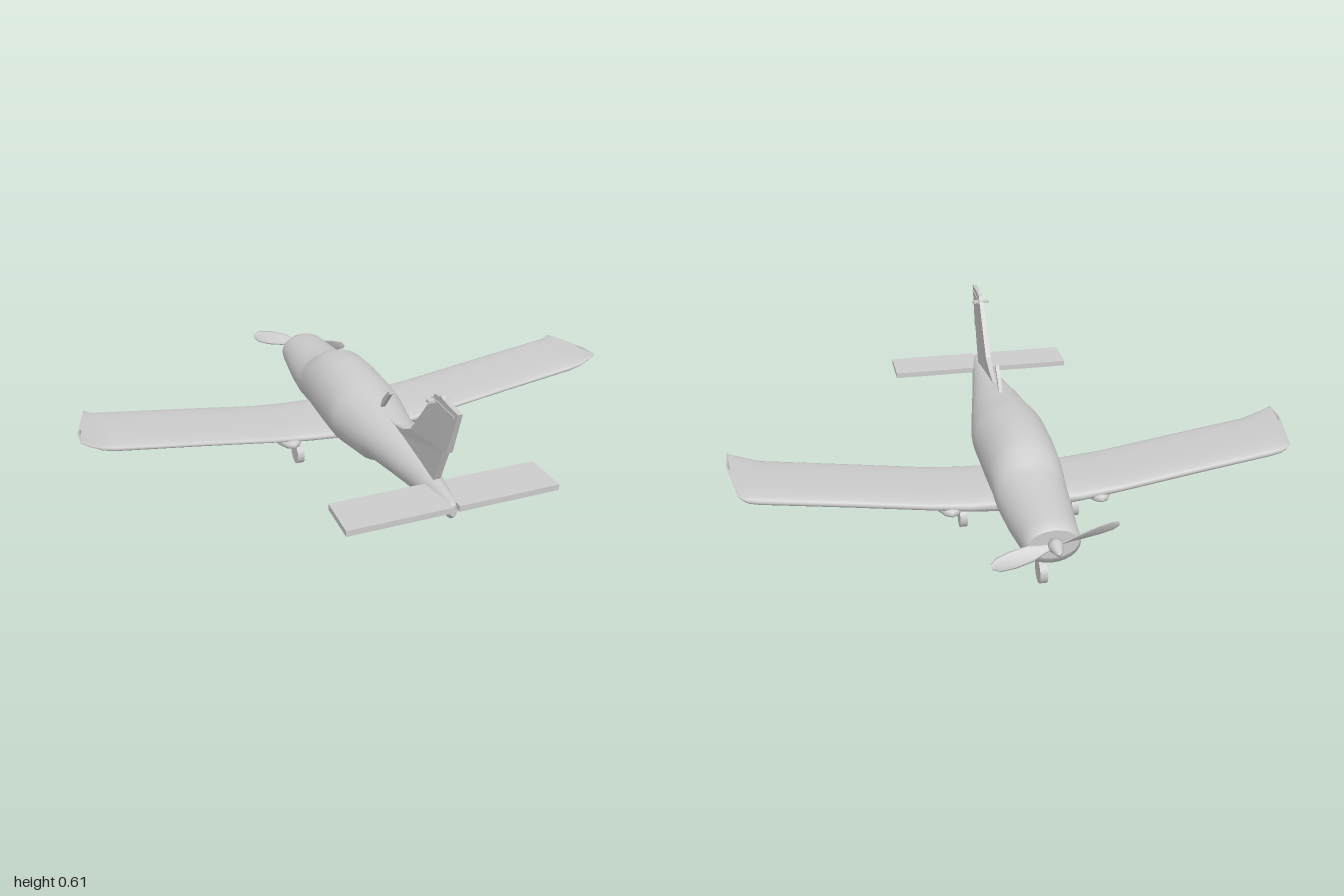
import * as THREE from 'three';

const material = new THREE.MeshStandardMaterial({ color: 0xcccccc, side: THREE.DoubleSide });

function addMesh(parent, name, geometry, x = 0, y = 0, z = 0) {
  const mesh = new THREE.Mesh(geometry, material);
  mesh.name = name;
  mesh.position.set(x, y, z);
  parent.add(mesh);
  return mesh;
}

// Skin a list of closed rings (arrays of [x, y, z]) and close both ends with sharp caps.
function loft(rings) {
  const n = rings[0].length;
  const pos = rings.flat(2);
  const index = [];
  for (let i = 0; i < rings.length - 1; i++) {
    for (let j = 0; j < n; j++) {
      const k = (j + 1) % n;
      const a = i * n + j, b = i * n + k, c = a + n, d = b + n;
      index.push(a, b, c, b, d, c);
    }
  }
  for (const [ring, start] of [[rings[0], true], [rings[rings.length - 1], false]]) {
    const base = pos.length / 3;
    const mid = [0, 1, 2].map((q) => ring.reduce((s, p) => s + p[q], 0) / n);
    pos.push(...ring.flat(), ...mid);
    for (let j = 0; j < n; j++) {
      const a = base + j, b = base + ((j + 1) % n);
      index.push(base + n, ...(start ? [b, a] : [a, b]));
    }
  }
  const g = new THREE.BufferGeometry();
  g.setAttribute('position', new THREE.Float32BufferAttribute(pos, 3));
  g.setIndex(index);
  g.computeVertexNormals();
  return g;
}

const ringOf = (n, fn) => Array.from({ length: n }, (_, j) => fn((j / n) * Math.PI * 2));

function fuselageGeometry() {
  // z, bottom, top, half width
  const stations = [
    [-0.69, 0.19, 0.29, 0.08], [-0.68, 0.168, 0.302, 0.09], [-0.65, 0.15, 0.31, 0.094],
    [-0.6, 0.138, 0.315, 0.099], [-0.5, 0.13, 0.323, 0.112], [-0.39, 0.126, 0.332, 0.121],
    [-0.355, 0.125, 0.35, 0.123], [-0.31, 0.124, 0.378, 0.125], [-0.26, 0.122, 0.397, 0.128],
    [-0.15, 0.12, 0.406, 0.132], [0, 0.128, 0.395, 0.135], [0.05, 0.138, 0.388, 0.134],
    [0.2, 0.16, 0.366, 0.11], [0.26, 0.188, 0.36, 0.099], [0.4, 0.204, 0.344, 0.074],
    [0.55, 0.22, 0.326, 0.049], [0.65, 0.229, 0.313, 0.034], [0.74, 0.238, 0.302, 0.02],
    [0.752, 0.25, 0.29, 0.012],
  ];
  return loft(stations.map(([z, lo, hi, w]) => ringOf(28, (t) => [
    w * Math.cos(t), (lo + hi) / 2 + ((hi - lo) / 2) * Math.sin(t), z,
  ])));
}

function wingGeometry() {
  // x, mid height, thickness, front z, back z, sweep of the tip edge, rise toward the back
  const stations = [
    [0.04, 0.162, 0.075, -0.318, -0.015, 0, 0], [0.2, 0.172, 0.058, -0.316, -0.018, 0, 0],
    [0.33, 0.187, 0.044, -0.314, -0.02, 0, 0], [0.6, 0.227, 0.044, -0.31, -0.02, 0, 0],
    [0.89, 0.268, 0.044, -0.306, -0.018, 0, 0], [0.93, 0.276, 0.038, -0.305, -0.014, 0.008, 0.006],
    [0.97, 0.289, 0.024, -0.303, -0.015, 0.028, 0.014], [1.0, 0.303, 0.006, -0.3, -0.02, 0.046, 0.018],
  ];
  const power = (v, e) => Math.sign(v) * Math.abs(v) ** e;
  return loft(stations.map(([x, y, t, z0, z1, sweep, rise]) => ringOf(24, (a) => {
    const s = 0.5 + 0.5 * power(Math.sin(a), 0.7); // 0 at the leading edge
    const h = (t / 2) * power(Math.cos(a), 0.7) * (1 - 0.3 * s);
    const back = Math.min(1, s / 0.7);
    return [x - sweep * (1 - back), y + h + rise * (s - 0.35), z0 + (z1 - z0) * s];
  })));
}

function bladeGeometry() {
  // radius, chord, pitch
  const stations = [
    [0.008, 0.018, 0.9], [0.04, 0.03, 0.85], [0.08, 0.052, 0.7],
    [0.14, 0.056, 0.5], [0.185, 0.045, 0.35], [0.206, 0.018, 0.3],
  ];
  return loft(stations.map(([r, chord, pitch]) => ringOf(10, (a) => {
    const c = (chord / 2) * Math.cos(a), t = 0.004 * Math.sin(a);
    return [r, c * Math.cos(pitch) - t * Math.sin(pitch), c * Math.sin(pitch) + t * Math.cos(pitch)];
  })));
}

// Side outline given as [z, y], extruded across x and centred.
function sidePlate(points, width) {
  const shape = new THREE.Shape(points.map(([z, y]) => new THREE.Vector2(z, y)));
  const g = new THREE.ExtrudeGeometry(shape, { depth: width, bevelEnabled: false });
  return g.translate(0, 0, -width / 2).rotateY(-Math.PI / 2);
}

function addGear(parent, name, x, z, wheelY, strutTop) {
  const gear = new THREE.Group();
  gear.name = name;
  gear.position.set(x, 0, z);
  parent.add(gear);
  addMesh(gear, 'wheel', new THREE.CylinderGeometry(0.042, 0.042, 0.026, 20).rotateZ(Math.PI / 2), 0, wheelY, 0);
  const length = strutTop - wheelY;
  addMesh(gear, 'strut', new THREE.CylinderGeometry(0.01, 0.01, length, 10), 0, wheelY + length / 2, 0);
}

export function createModel() {
  const plane = new THREE.Group();
  plane.name = 'airplane';
  addMesh(plane, 'fuselage', fuselageGeometry());

  // Wings, gear fairings and main wheels on both sides
  const wing = wingGeometry();
  const fairing = new THREE.SphereGeometry(1, 16, 12).scale(0.06, 0.035, 0.168);
  for (const [side, label] of [[1, 'left'], [-1, 'right']]) {
    const half = new THREE.Group();
    half.name = label + 'WingAssembly';
    half.scale.x = side;
    plane.add(half);
    addMesh(half, 'wing', wing);
    addMesh(half, 'gearFairing', fairing, 0.262, 0.162, -0.165);
    addGear(half, 'mainGear', 0.204, -0.15, 0.052, 0.17);

    // Tailplane half, leaving a narrow rear gap on the centre line
    const tail = new THREE.Shape([[0, 0.61], [0.354, 0.61], [0.357, 0.77], [0.01, 0.77], [0.008, 0.73], [0, 0.72]]
      .map(([x, z]) => new THREE.Vector2(x, z)));
    const tailGeometry = new THREE.ExtrudeGeometry(tail, { depth: 0.02, bevelEnabled: false }).rotateX(Math.PI / 2);
    addMesh(half, 'tailplane', tailGeometry, 0, 0.296, 0);
  }
  addGear(plane, 'noseGear', 0, -0.535, 0.043, 0.17);

  // Fin, thinning toward the top
  const fin = sidePlate([
    [0.19, 0.355], [0.19, 0.364], [0.315, 0.356], [0.38, 0.372], [0.445, 0.405], [0.59, 0.58],
    [0.61, 0.605], [0.64, 0.608], [0.65, 0.615], [0.665, 0.609], [0.765, 0.605], [0.705, 0.448],
    [0.69, 0.447], [0.63, 0.318], [0.62, 0.29], [0.3, 0.32],
  ], 0.024);
  const p = fin.attributes.position;
  for (let i = 0; i < p.count; i++) {
    const rise = THREE.MathUtils.clamp((p.getY(i) - 0.4) / 0.2, 0, 1);
    const front = THREE.MathUtils.clamp((p.getZ(i) - 0.3) / 0.2, 0, 1);
    p.setX(i, p.getX(i) * (1 - 0.35 * rise) * (0.5 + 0.5 * front));
  }
  fin.computeVertexNormals();
  addMesh(plane, 'fin', fin);
  addMesh(plane, 'finCrossbar', new THREE.BoxGeometry(0.065, 0.008, 0.02), 0, 0.583, 0.61);
  addMesh(plane, 'finTopRib', new THREE.BoxGeometry(0.022, 0.006, 0.15), 0, 0.586, 0.67);

  // Raked antenna
  addMesh(plane, 'antenna', sidePlate([[0.185, 0.355], [0.26, 0.443], [0.258, 0.452], [0.25, 0.45], [0.205, 0.405], [0.18, 0.36]], 0.014));

  // Propeller and spinner
  const propeller = new THREE.Group();
  propeller.name = 'propeller';
  propeller.position.set(0, 0.254, -0.716);
  propeller.rotation.z = -0.27;
  plane.add(propeller);
  const blade = bladeGeometry();
  for (let i = 0; i < 2; i++) addMesh(propeller, 'blade', blade).rotation.z = i * Math.PI;
  const spinner = [[0, 0.03], [0.012, 0.03], [0.012, 0.006], [0.024, 0.004], [0.023, -0.012], [0.01, -0.05], [0, -0.06]];
  const profile = spinner.map(([r, z]) => new THREE.Vector2(r, -z));
  addMesh(propeller, 'spinner', new THREE.LatheGeometry(profile, 16).rotateX(-Math.PI / 2));

  return plane;
}
